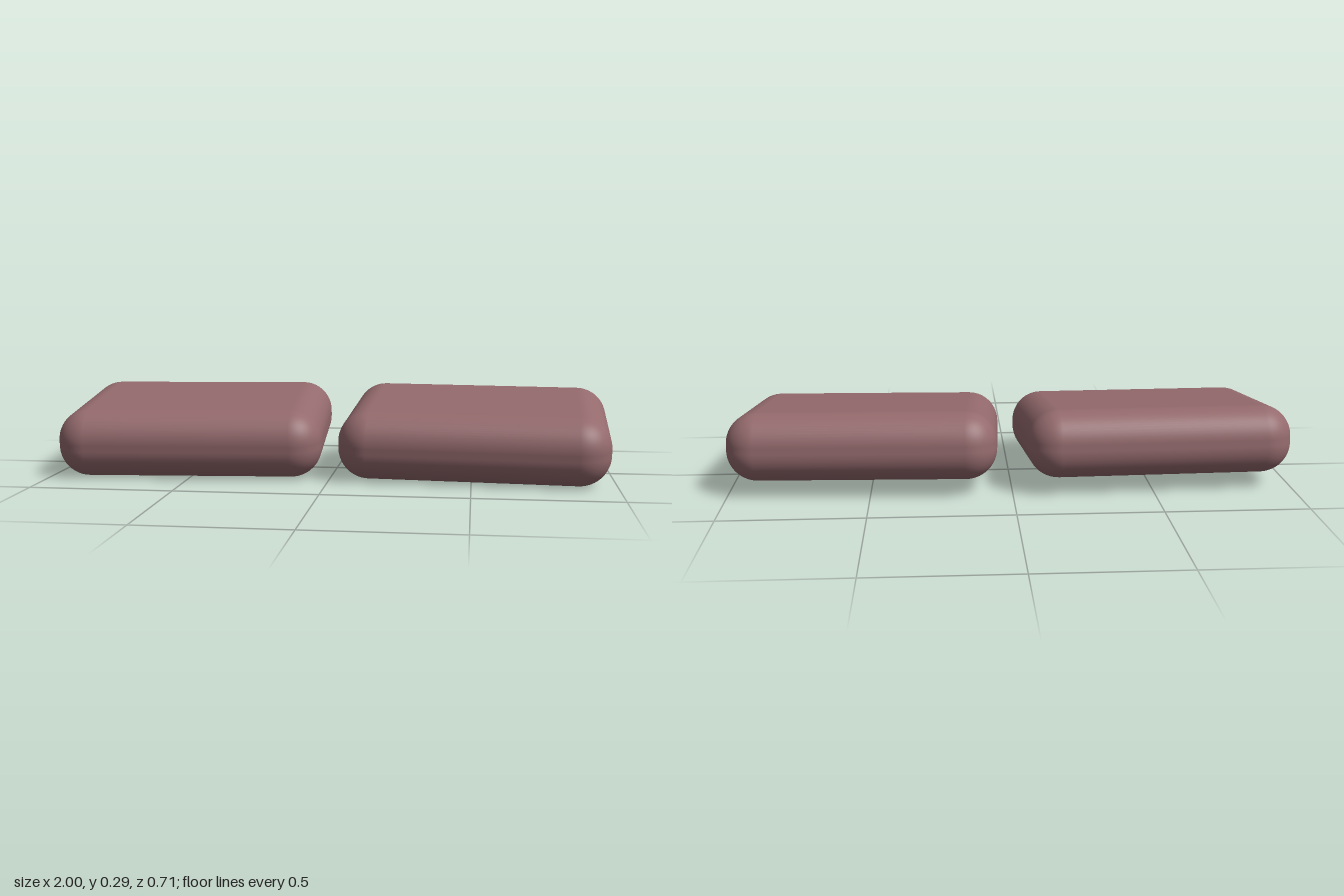
import * as THREE from 'three';
import { RoundedBoxGeometry } from 'three/addons/geometries/RoundedBoxGeometry.js';

export function createModel() {
  const model = new THREE.Group();
  model.name = 'cushionPair';

  const mauve = new THREE.MeshStandardMaterial({ color: 0x946a6d });
  mauve.name = 'dusty mauve';

  // One soft block per side, toed slightly and tilted down toward the front
  const geometry = new RoundedBoxGeometry(0.948, 0.242, 0.677, 8, 0.11);
  for (const side of [1, -1]) {
    const block = new THREE.Mesh(geometry, mauve);
    block.name = side > 0 ? 'leftBlock' : 'rightBlock';
    block.position.set(side * 0.515, 0.147, 0);
    block.rotation.set(0.105, side * -0.05, 0);
    model.add(block);
  }
  return model;
}
